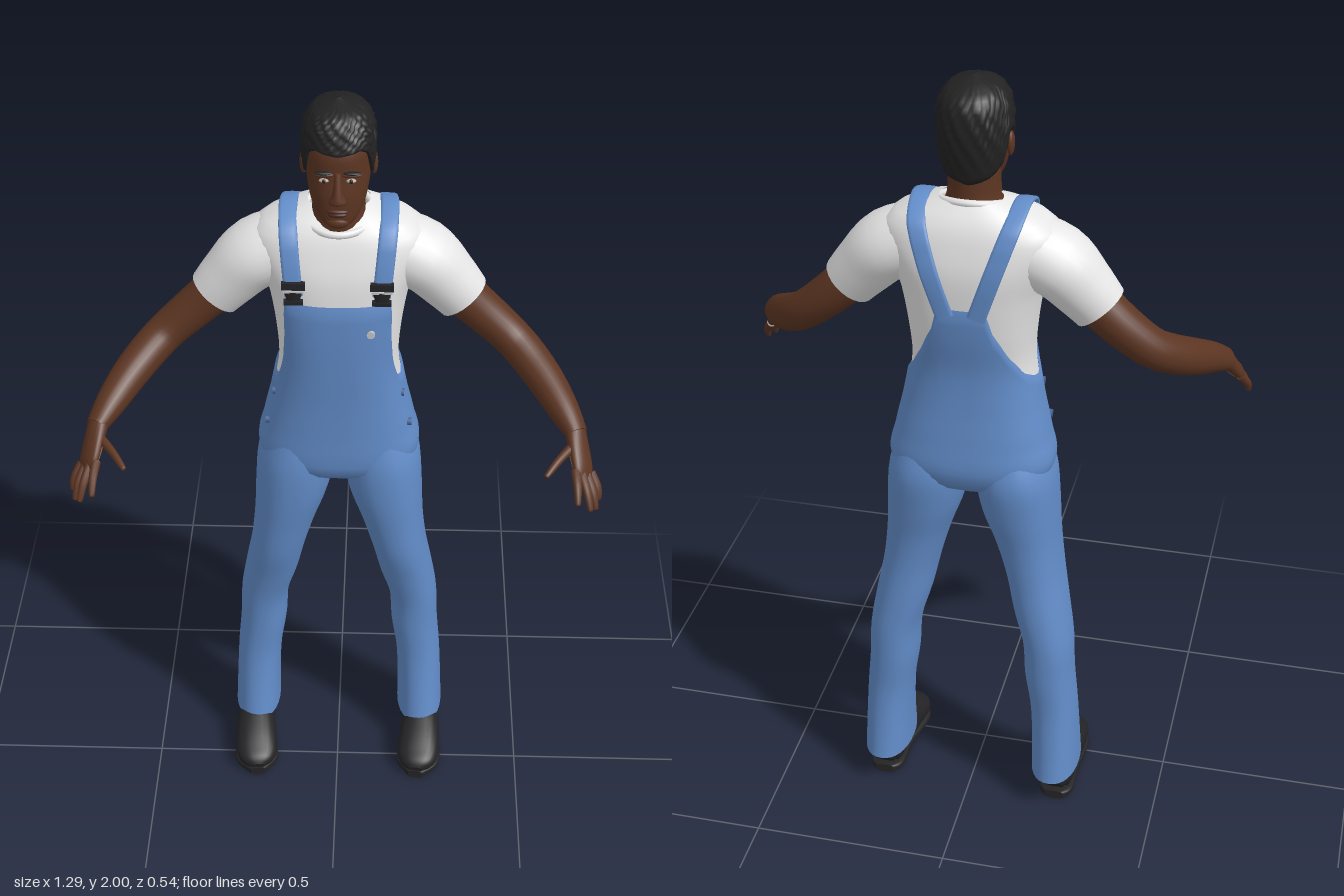
import * as THREE from 'three';

const mat = (name, color) => Object.assign(new THREE.MeshStandardMaterial({ color }), { name });

// Catmull-Rom interpolation between rows of numbers
function blend(rows, t) {
  const last = rows.length - 1, i = Math.max(0, Math.min(Math.floor(t), last - 1)), f = t - i;
  const r = k => rows[Math.max(0, Math.min(last, k))];
  return rows[0].map((_, k) => {
    const a = r(i - 1)[k], b = r(i)[k], c = r(i + 1)[k], d = r(i + 2)[k];
    return b + 0.5 * f * (c - a + f * (2 * a - 5 * b + 4 * c - d + f * (3 * (b - c) + d - a)));
  });
}
// straight-line lookup in a list of [x, y]
function lookup(list, x) {
  let i = 0;
  while (i < list.length - 2 && x > list[i + 1][0]) i++;
  const [a, b] = [list[i], list[i + 1]];
  return a[1] + (b[1] - a[1]) * Math.min(1, (x - a[0]) / (b[0] - a[0]));
}
const pw = (v, p) => Math.sign(v) * Math.abs(v) ** p;

// skin over closed rings of points, with optional end caps
function skin(rings, caps = true) {
  const n = rings[0].length, pts = rings.flat(), index = [];
  for (let i = 0; i < rings.length - 1; i++) for (let j = 0; j < n; j++) {
    const a = i * n + j, b = i * n + (j + 1) % n;
    index.push(a, b, b + n, a, b + n, a + n);
  }
  if (caps) [rings[0], rings[rings.length - 1]].forEach((ring, e) => {
    const base = pts.length, mid = new THREE.Vector3();
    ring.forEach(p => mid.addScaledVector(p, 1 / n));
    pts.push(...ring.map(p => p.clone()), mid);
    for (let j = 0; j < n; j++) {
      const a = base + j, b = base + (j + 1) % n;
      index.push(...(e ? [a, b, base + n] : [b, a, base + n]));
    }
  });
  const g = new THREE.BufferGeometry().setFromPoints(pts);
  g.setIndex(index);
  g.computeVertexNormals();
  return g;
}
// rows [x, y, z, ru, rv]; with ref, rings stand across the path and ru lies along ref,
// without it they are level, going up, with ru along x and rv along z
function loft(rows, { ref, n = 24, p = 1, sub = 4, caps = true } = {}) {
  const count = (rows.length - 1) * sub, rings = [];
  const at = k => blend(rows, Math.max(0, Math.min(count, k)) / sub);
  const pos = k => new THREE.Vector3(...at(k).slice(0, 3));
  for (let k = 0; k <= count; k++) {
    const s = at(k), c = pos(k);
    let U = new THREE.Vector3(0, 0, 1), V = new THREE.Vector3(1, 0, 0), ru = s[4], rv = s[3];
    if (ref) {
      const t = pos(k + 1).sub(pos(k - 1)).normalize();
      U = new THREE.Vector3(...ref);
      U.addScaledVector(t, -U.dot(t)).normalize();
      V = t.cross(U); ru = s[3]; rv = s[4];
    }
    rings.push(Array.from({ length: n }, (_, j) => {
      const a = j / n * Math.PI * 2;
      return c.clone().addScaledVector(U, ru * pw(Math.cos(a), p)).addScaledVector(V, rv * pw(Math.sin(a), p));
    }));
  }
  return skin(rings, caps);
}
// [y, half width, front z, back z] to level loft rows
const level = rows => rows.map(([y, w, f, b]) => [0, y, (f + b) / 2, w, (f - b) / 2]);
function sectionAt(rows, y) {
  let i = 0;
  while (i < rows.length - 2 && y > rows[i + 1][1]) i++;
  return blend(rows, i + (y - rows[i][1]) / (rows[i + 1][1] - rows[i][1]));
}
// part of a level body between two heights that depend on the angle from the front
function sheet(rows, low, high, off, { n = 96, m = 26, p = 0.8 } = {}) {
  const rings = [];
  for (let i = 0; i <= m; i++) rings.push(Array.from({ length: n }, (_, j) => {
    const a = j / n * Math.PI * 2, turn = Math.min(a, Math.PI * 2 - a), v = i / m;
    const y = low(turn) + (high(turn) - low(turn)) * v, s = sectionAt(rows, y), o = off(a, v);
    return new THREE.Vector3((s[3] + o) * pw(Math.sin(a), p), y, s[2] + (s[4] + o) * pw(Math.cos(a), p));
  }));
  return skin(rings, false);
}

const TORSO = level([[0.93, 0.03, -0.1, -0.17], [0.98, 0.165, -0.02, -0.24], [1.03, 0.198, -0.006, -0.262], [1.1, 0.185, -0.006, -0.256],
  [1.2, 0.163, -0.005, -0.244], [1.3, 0.148, 0, -0.24], [1.4, 0.154, 0.004, -0.255], [1.5, 0.17, 0.003, -0.264], [1.57, 0.195, -0.004, -0.265],
  [1.63, 0.213, -0.022, -0.253], [1.67, 0.19, -0.038, -0.24], [1.7, 0.13, -0.06, -0.22], [1.72, 0.075, -0.1, -0.2]]);
const HEAD = level([[1.718, 0.02, -0.008, -0.05], [1.73, 0.042, 0, -0.09], [1.76, 0.06, 0.002, -0.13], [1.8, 0.071, 0.003, -0.17],
  [1.85, 0.077, -0.003, -0.19], [1.9, 0.078, -0.005, -0.2], [1.95, 0.065, -0.03, -0.18], [1.98, 0.03, -0.07, -0.14]]);
const HAIR = level([[1.74, 0.062, -0.03, -0.192], [1.8, 0.079, -0.005, -0.205], [1.85, 0.085, 0.001, -0.215], [1.9, 0.086, 0.002, -0.219],
  [1.95, 0.078, -0.013, -0.21], [1.98, 0.055, -0.043, -0.18], [2, 0.002, -0.108, -0.112]]);
const BIB_EDGE = [[0, 1.505], [0.77, 1.505], [0.85, 1.43], [1, 1.34], [1.22, 1.265], [1.5, 1.25], [2.06, 1.29], [2.45, 1.35],
  [2.75, 1.42], [2.88, 1.48], [3.15, 1.48]];
const HAIRLINE = [[0, 1.9], [0.6, 1.908], [0.9, 1.895], [1.1, 1.85], [1.3, 1.82], [1.45, 1.868], [1.75, 1.868], [1.95, 1.8], [2.4, 1.768], [3.15, 1.757]];

// z of the torso surface at x, y on the front (+1) or back (-1)
function torsoZ(x, y, side) {
  const s = sectionAt(TORSO, y), sn = Math.min(1, (Math.abs(x) / s[3]) ** 1.25);
  return s[2] + side * s[4] * (1 - sn * sn) ** 0.4;
}

export function createModel() {
  const model = new THREE.Group();
  model.name = 'workman';
  const M = {
    skin: mat('brown skin', 0x5c3522), palm: mat('pale palm', 0x9a6b4e), lip: mat('lips', 0x4a261c), white: mat('eye white', 0xb5aaa0),
    hair: mat('black hair', 0x222222), shirt: mat('white cotton', 0xe6e6e6), denim: mat('blue denim', 0x628cc8),
    stud: mat('dark blue stud', 0x43618f), shoe: mat('black leather', 0x242426), metal: mat('silver metal', 0xc4c6ca),
  };
  M.denim.side = M.shirt.side = M.hair.side = THREE.DoubleSide;
  const add = (name, geo, material, x = 0, y = 0, z = 0) => {
    const mesh = new THREE.Mesh(geo, material);
    mesh.name = name;
    mesh.position.set(x, y, z);
    model.add(mesh);
    return mesh;
  };
  const ball = (name, material, x, y, z, rx, ry, rz) => add(name, new THREE.SphereGeometry(1, 16, 12), material, x, y, z).scale.set(rx, ry, rz);

  // shirt, collar and bib trousers
  add('shirt', sheet(TORSO, () => 1.18, () => 1.72, () => 0), M.shirt);
  add('overallBody', sheet(TORSO, () => 0.93, a => lookup(BIB_EDGE, a), (a, v) => v === 1 ? 0.001 : 0.007), M.denim);
  const ring = Array.from({ length: 16 }, (_, i) => {
    const a = i / 8 * Math.PI;
    return new THREE.Vector3(0.083 * Math.sin(a), 1.7 - 0.021 * Math.cos(a), -0.118 + 0.08 * Math.cos(a));
  });
  add('collar', new THREE.TubeGeometry(new THREE.CatmullRomCurve3(ring, true), 48, 0.009, 8, true), M.shirt);
  add('bibButton', new THREE.CylinderGeometry(0.01, 0.01, 0.008, 12).rotateX(Math.PI / 2), M.metal, 0.08, 1.43, torsoZ(0.08, 1.43, 1) + 0.009);

  // head
  add('neck', loft(level([[1.62, 0.08, -0.065, -0.2], [1.68, 0.075, -0.047, -0.195], [1.72, 0.063, -0.046, -0.186],
    [1.78, 0.06, -0.05, -0.185], [1.84, 0.055, -0.07, -0.185]])), M.skin);
  add('head', loft(HEAD, { n: 32, p: 0.9 }), M.skin);
  const tuft = (a, v) => v === 0 ? -0.014 : Math.sin(v * Math.PI) * 0.0025 * (Math.sin(a * 17 + v * 23) + Math.sin(a * 29 - v * 41));
  add('hair', sheet(HAIR, a => lookup(HAIRLINE, a), () => 2, tuft, { p: 0.9, m: 20 }), M.hair);
  add('nose', loft([[0, 1.785, 0, 0.018, 0.012], [0, 1.793, 0.004, 0.021, 0.018], [0, 1.81, 0.002, 0.013, 0.018],
    [0, 1.84, -0.002, 0.009, 0.012], [0, 1.862, -0.006, 0.008, 0.008]], { n: 16 }), M.skin);
  ball('upperLip', M.lip, 0, 1.766, 0.001, 0.025, 0.006, 0.009);
  ball('lowerLip', M.lip, 0, 1.757, 0, 0.022, 0.007, 0.009);
  ball('chin', M.skin, 0, 1.733, -0.012, 0.028, 0.017, 0.017);

  for (const s of [1, -1]) {
    const side = s > 0 ? 'left' : 'right';
    const mirror = rows => rows.map(([x, ...rest]) => [s * x, ...rest]);

    // face details
    ball(side + 'Eye', M.white, s * 0.031, 1.842, -0.007, 0.012, 0.005, 0.007);
    ball(side + 'Pupil', M.hair, s * 0.031, 1.842, -0.003, 0.005, 0.005, 0.004);
    ball(side + 'BrowRidge', M.skin, s * 0.031, 1.857, -0.009, 0.025, 0.007, 0.011);
    ball(side + 'Eyebrow', M.hair, s * 0.033, 1.862, -0.005, 0.021, 0.004, 0.008);
    ball(side + 'Ear', M.skin, s * 0.082, 1.838, -0.105, 0.009, 0.03, 0.018);

    // sleeve and arm
    add(side + 'Sleeve', loft(mirror([[0.11, 1.605, -0.14, 0.09, 0.085], [0.2, 1.57, -0.137, 0.097, 0.085],
      [0.26, 1.51, -0.133, 0.08, 0.076], [0.303, 1.46, -0.13, 0.066, 0.068]]), { ref: [0, 0, 1] }), M.shirt);
    add(side + 'Arm', loft(mirror([[0.28, 1.485, -0.132, 0.056, 0.056], [0.35, 1.42, -0.13, 0.055, 0.052], [0.42, 1.36, -0.113, 0.051, 0.048],
      [0.465, 1.325, -0.075, 0.05, 0.047], [0.51, 1.29, -0.015, 0.047, 0.044], [0.55, 1.255, 0.055, 0.04, 0.037],
      [0.58, 1.225, 0.11, 0.032, 0.025]]), { ref: [0, 0, 1] }), M.skin);

    // hand
    const across = [s * 0.5, -0.35, -0.65];
    add(side + 'Hand', loft(mirror([[0.575, 1.232, 0.1, 0.03, 0.024], [0.584, 1.205, 0.135, 0.035, 0.02],
      [0.594, 1.172, 0.172, 0.037, 0.016], [0.599, 1.154, 0.192, 0.03, 0.008]]), { ref: across }), M.skin);
    add(side + 'Palm', loft(mirror([[0.575, 1.2, 0.135, 0.02, 0.008], [0.581, 1.19, 0.147, 0.03, 0.013],
      [0.589, 1.169, 0.17, 0.031, 0.012], [0.592, 1.158, 0.182, 0.022, 0.006]]), { ref: across }), M.palm);
    const fingers = {
      IndexFinger: [[0.575, 1.178, 0.193], [0.579, 1.158, 0.232], [0.58, 1.13, 0.262]],
      MiddleFinger: [[0.59, 1.167, 0.19], [0.603, 1.14, 0.225], [0.612, 1.105, 0.25]],
      RingFinger: [[0.603, 1.156, 0.178], [0.62, 1.125, 0.207], [0.627, 1.091, 0.226]],
      LittleFinger: [[0.615, 1.15, 0.163], [0.632, 1.122, 0.182], [0.636, 1.096, 0.195]],
      Thumb: [[0.57, 1.212, 0.14], [0.535, 1.202, 0.185], [0.505, 1.188, 0.228]],
    };
    for (const [name, [a, b, c]] of Object.entries(fingers)) {
      const tip = c.map((v, k) => v + (c[k] - b[k]) * 0.1);
      const rows = [[...a, 0.012, 0.012], [...b, 0.011, 0.01], [...c, 0.007, 0.007], [...tip, 0.002, 0.002]];
      add(side + name, loft(mirror(rows), { ref: across, n: 10 }), M.skin);
    }

    // shoulder strap with buckle, from bib over the shoulder to the back
    const strap = [], pt = (x, y, f) => strap.push([x, y, torsoZ(x, y, f) + f * 0.007, 0.022, 0.006]);
    for (let i = 0; i <= 5; i++) pt(0.104 + i * 0.003, 1.53 + i * 0.032, 1);
    strap.push([0.12, 1.713, -0.145, 0.022, 0.006]);
    for (let i = 0; i <= 6; i++) pt(0.112 - i * 0.0125, 1.685 - i * 0.037, -1);
    add(side + 'Strap', loft(mirror(strap), { ref: [1, 0, 0], n: 12, p: 0.6 }), M.denim);
    const bz = torsoZ(0.105, 1.54, 1);
    add(side + 'BuckleTop', new THREE.BoxGeometry(0.056, 0.018, 0.014), M.shoe, s * 0.105, 1.562, bz + 0.013);
    add(side + 'BuckleBar', new THREE.BoxGeometry(0.05, 0.006, 0.016), M.metal, s * 0.105, 1.549, bz + 0.013);
    add(side + 'BuckleBody', new THREE.CylinderGeometry(0.022, 0.015, 0.03, 12).scale(1, 1, 0.4), M.shoe, s * 0.105, 1.533, bz + 0.013);
    add(side + 'BuckleFoot', new THREE.BoxGeometry(0.046, 0.01, 0.014), M.shoe, s * 0.105, 1.517, bz + 0.013);

    // hip studs
    for (const [y, x] of [[1.21, 0.157], [1.12, 0.177]])
      add(side + 'HipStud', new THREE.CylinderGeometry(0.01, 0.01, 0.014, 12).rotateZ(Math.PI / 2), M.stud, s * x, y, -0.072);

    // trouser leg
    add(side + 'TrouserLeg', loft(mirror([[0.229, 0.095, -0.148, 0.062, 0.116], [0.226, 0.2, -0.152, 0.06, 0.098], [0.22, 0.3, -0.155, 0.06, 0.086],
      [0.208, 0.4, -0.157, 0.063, 0.087], [0.202, 0.5, -0.155, 0.064, 0.09], [0.18, 0.6, -0.143, 0.07, 0.098], [0.16, 0.7, -0.128, 0.072, 0.108],
      [0.14, 0.8, -0.125, 0.081, 0.116], [0.12, 0.9, -0.129, 0.096, 0.129], [0.108, 1, -0.134, 0.099, 0.134],
      [0.098, 1.08, -0.13, 0.08, 0.115]]), { n: 32, p: 0.9 }), M.denim);

    // shoe, sole and heel
    add(side + 'Shoe', loft(mirror([[0.235, 0.045, -0.208, 0.03, 0.025], [0.235, 0.06, -0.18, 0.052, 0.042], [0.234, 0.064, -0.09, 0.058, 0.05],
      [0.231, 0.055, -0.02, 0.046, 0.056], [0.226, 0.04, 0.04, 0.034, 0.056], [0.222, 0.034, 0.072, 0.024, 0.042],
      [0.22, 0.03, 0.088, 0.01, 0.018]]), { ref: [0, 1, 0], p: 0.85 }), M.shoe);
    add(side + 'Sole', loft(mirror([[0.235, 0.012, -0.21, 0.012, 0.025], [0.235, 0.012, -0.18, 0.012, 0.045], [0.234, 0.012, -0.09, 0.012, 0.046],
      [0.23, 0.012, 0, 0.012, 0.059], [0.225, 0.012, 0.05, 0.012, 0.055], [0.22, 0.012, 0.09, 0.012, 0.02]]), { ref: [0, 1, 0], p: 0.5 }), M.shoe);
  }
  return model;
}
